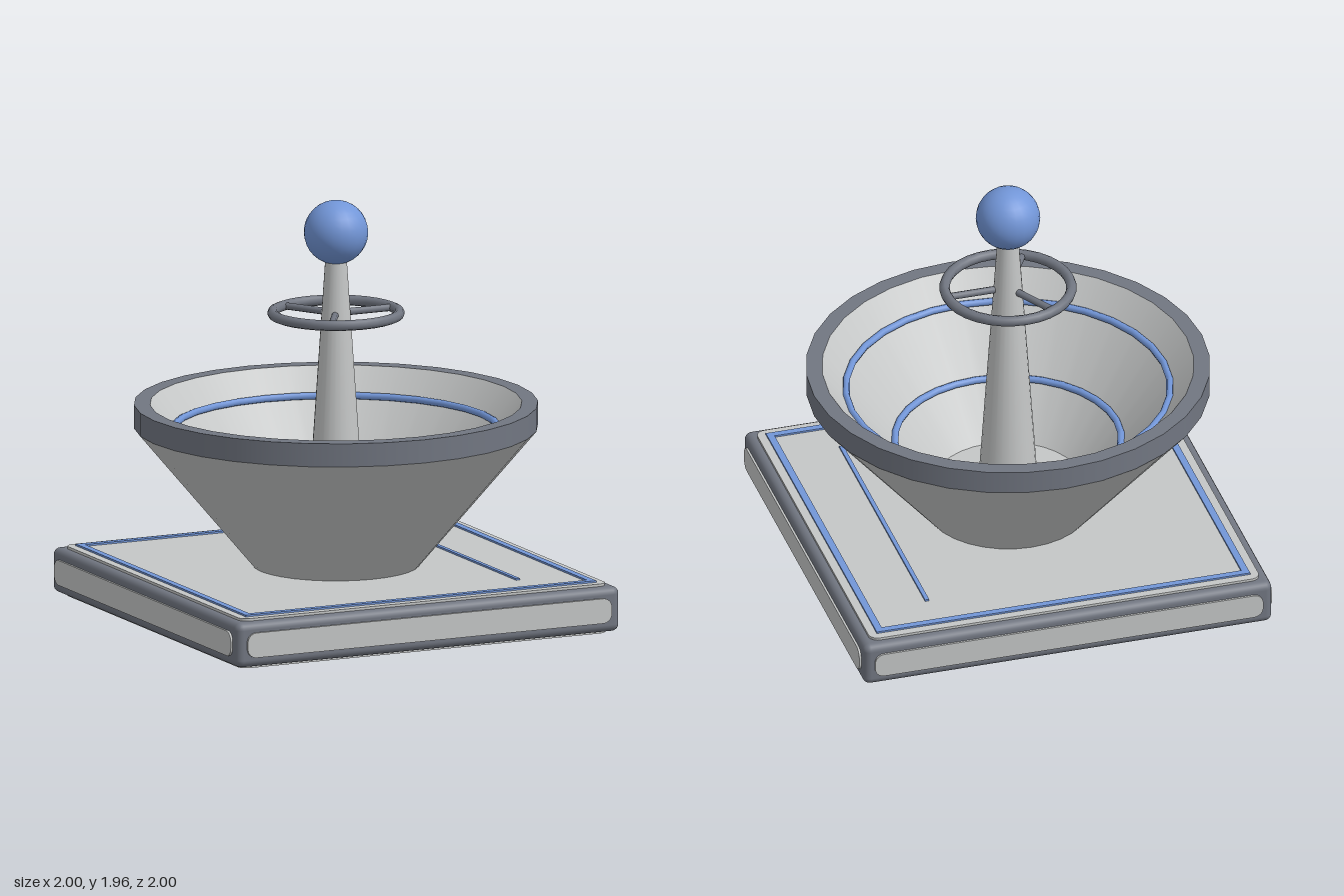
import * as THREE from 'three';
import { RoundedBoxGeometry } from 'three/addons/geometries/RoundedBoxGeometry.js';

const SEG = 32;

export function createModel() {
  const model = new THREE.Group();
  const mat = (name, color) => {
    const m = new THREE.MeshStandardMaterial({ color });
    m.name = name;
    return m;
  };
  const light = mat('lightGrey', 0xc4c6c6);
  const steel = mat('steelGrey', 0x717681);
  const blue = mat('blue', 0x7296d8);

  const add = (name, geometry, material, x = 0, y = 0, z = 0, parent = model) => {
    const mesh = new THREE.Mesh(geometry, material);
    mesh.name = name;
    mesh.position.set(x, y, z);
    parent.add(mesh);
    return mesh;
  };

  // Thin plate with rounded corners, centred, facing +z
  const plate = (w, h, r, depth) => {
    const a = w / 2 - r, b = h / 2 - r;
    const s = new THREE.Shape();
    s.absarc(a, b, r, 0, Math.PI / 2);
    s.absarc(-a, b, r, Math.PI / 2, Math.PI);
    s.absarc(-a, -b, r, Math.PI, Math.PI * 1.5);
    s.absarc(a, -b, r, Math.PI * 1.5, Math.PI * 2);
    return new THREE.ExtrudeGeometry(s, { depth, bevelEnabled: false, curveSegments: 5 });
  };

  // One conical band of a turned part, from one radius and height to the next
  const band = (name, r0, y0, r1, y1, material) =>
    add(name, new THREE.LatheGeometry([new THREE.Vector2(r0, y0), new THREE.Vector2(r1, y1)], SEG), material);

  // Base block
  add('baseBlock', new RoundedBoxGeometry(1.98, 0.212, 1.98, 3, 0.035), steel, 0, 0.117, 0);

  // Inset panels on the four sides, top and bottom
  for (let i = 0; i < 4; i++) {
    const side = new THREE.Group();
    side.name = 'sidePanel' + (i + 1);
    side.rotation.y = i * Math.PI / 2;
    add('panel', plate(1.88, 0.118, 0.045, 0.03), light, 0, 0.117, 0.97, side);
    model.add(side);
  }
  add('topPanel', plate(1.89, 1.89, 0.045, 0.03), light, 0, 0.205, 0).rotation.x = -Math.PI / 2;
  add('bottomPanel', plate(1.89, 1.89, 0.045, 0.03), light, 0, 0.03, 0).rotation.x = Math.PI / 2;

  // Blue border on the top panel and the single line beside the bowl
  for (const s of [-1, 1]) {
    add('borderAlongX', new THREE.BoxGeometry(1.81, 0.009, 0.033), blue, 0, 0.239, s * 0.888);
    add('borderAlongZ', new THREE.BoxGeometry(0.033, 0.009, 1.744), blue, s * 0.888, 0.239, 0);
  }
  add('floorLine', new THREE.BoxGeometry(0.02, 0.009, 1.4), blue, 0.6, 0.239, 0);

  // Bowl
  band('bowlOuter', 0.388, 0.235, 0.94, 0.89, light);
  band('bowlInner', 0.865, 1, 0.345, 0.36, light);
  band('bowlFloor', 0.345, 0.36, 0, 0.36, light);
  band('rimSide', 0.94, 0.89, 0.94, 1, steel);
  band('rimTop', 0.94, 1, 0.865, 1, steel);

  // Blue rings on the inner wall
  for (const [r, y] of [[0.755, 0.878], [0.527, 0.6]]) {
    add('bowlRing', new THREE.TorusGeometry(r, 0.017, 8, SEG), blue, 0, y, 0).rotation.x = Math.PI / 2;
  }

  // Post and ball
  add('post', new THREE.CylinderGeometry(0.049, 0.139, 1.34, 24), light, 0, 1.03, 0);
  add('ball', new THREE.SphereGeometry(0.15, 24, 16), blue, 0, 1.81, 0);

  // Wheel with three spokes around the post
  const wheel = new THREE.Group();
  wheel.name = 'wheel';
  wheel.position.y = 1.427;
  add('wheelRim', new THREE.TorusGeometry(0.295, 0.025, 8, SEG), steel, 0, 0, 0, wheel).rotation.x = Math.PI / 2;
  for (let i = 0; i < 3; i++) {
    const spoke = new THREE.Group();
    spoke.name = 'spoke' + (i + 1);
    spoke.rotation.y = i * Math.PI * 2 / 3;
    add('spokeBar', new THREE.CylinderGeometry(0.017, 0.017, 0.27, 8), steel, 0.155, 0, 0, spoke).rotation.z = Math.PI / 2;
    wheel.add(spoke);
  }
  model.add(wheel);

  return model;
}
